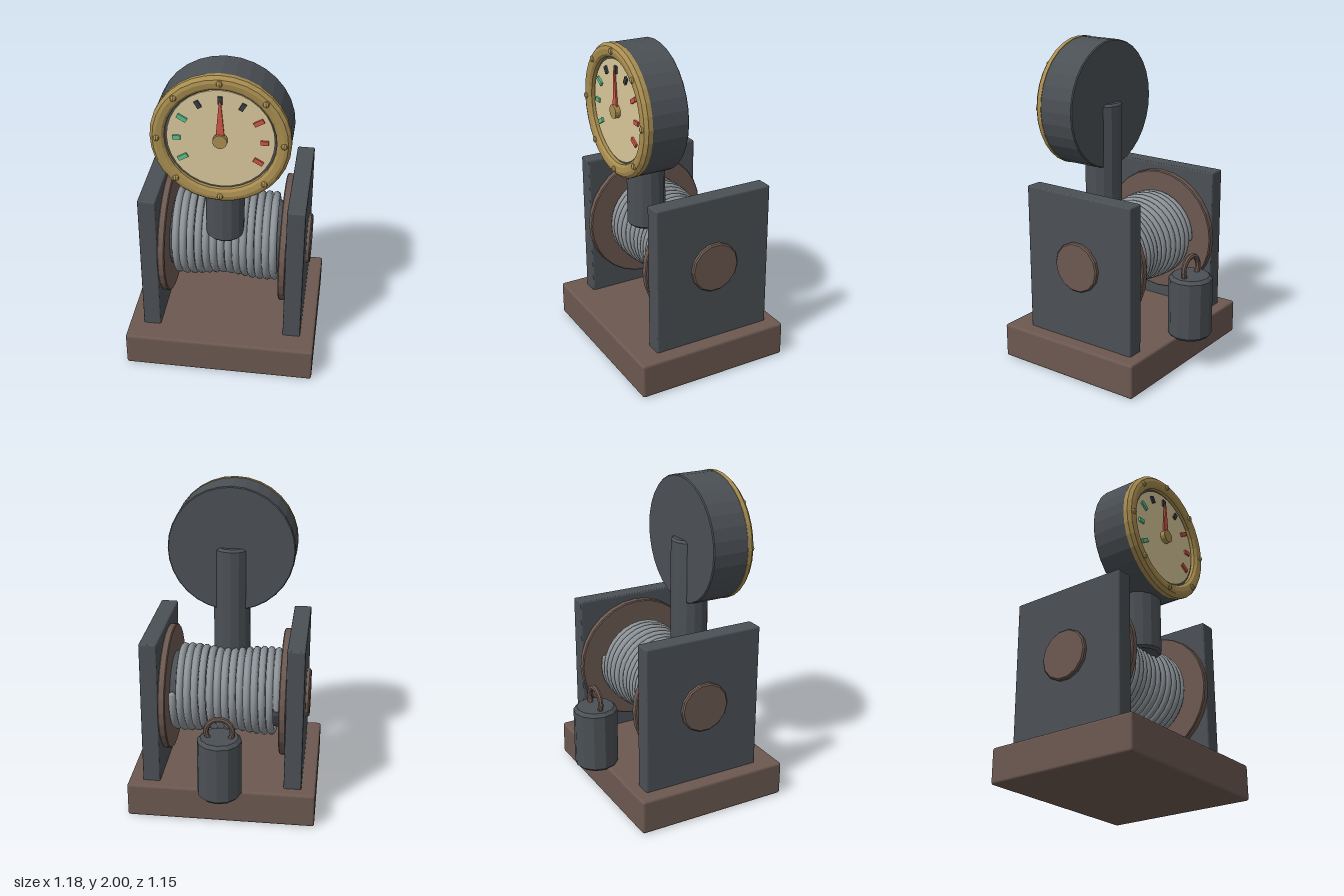
import * as THREE from 'three';
import { RoundedBoxGeometry } from 'three/addons/geometries/RoundedBoxGeometry.js';

const mat = (color, flatShading = true) => new THREE.MeshStandardMaterial({ color, flatShading });
const BROWN = mat(0x6b5850), IRON = mat(0x4b5055), BRASS = mat(0xa88d50);
const FACE = mat(0xd8c79a), ROPE = mat(0x8d9398, false);
const RED = mat(0xd05545), GREEN = mat(0x5cc28c), BLACK = mat(0x3a3d45);

// Drum axis and gauge centre
const AXLE = { y: 0.707, z: 0.042 };
const GAUGE = { y: 1.6, r: 0.4 };

// Bevelled cylinder along y, centred on the origin
function disc(r, h, bevel, sides) {
  const t = h / 2;
  return new THREE.LatheGeometry([
    [0, -t], [r - bevel, -t], [r, -t + bevel], [r, t - bevel], [r - bevel, t], [0, t],
  ].map(([x, y]) => new THREE.Vector2(x, y)), sides);
}

// Rope wound round the drum, with a gentle swell along its length
class Coil extends THREE.Curve {
  getPoint(t, target = new THREE.Vector3()) {
    const a = -Math.PI / 2 + t * Math.PI * 2 * 14.03;
    const x = -0.327 + 0.654 * t;
    const r = 0.251 - 0.011 * Math.cos(x * Math.PI / 0.24);
    return target.set(x, AXLE.y + r * Math.cos(a), AXLE.z + r * Math.sin(a));
  }
}

export function createModel() {
  const model = new THREE.Group();
  const add = (name, geometry, material, x = 0, y = 0, z = 0, parent = model) => {
    const mesh = new THREE.Mesh(geometry, material);
    mesh.name = name;
    mesh.position.set(x, y, z);
    parent.add(mesh);
    return mesh;
  };

  // Base and the two side plates with their flanges and axle caps
  add('base', new RoundedBoxGeometry(1.18, 0.22, 0.995, 2, 0.015), BROWN, 0, 0.11, 0.078);
  for (const s of [-1, 1]) {
    const side = s > 0 ? 'left' : 'right';
    add(side + 'Plate', new RoundedBoxGeometry(0.11, 0.95, 0.775, 2, 0.01), IRON, s * 0.445, 0.675, 0.042);
    add(side + 'Flange', disc(0.405, 0.045, 0.006, 28).rotateZ(Math.PI / 2), BROWN, s * 0.37, AXLE.y, AXLE.z);
    add(side + 'AxleCap', disc(0.157, 0.15, 0.008, 14).rotateZ(Math.PI / 2), BROWN, s * 0.45, AXLE.y, AXLE.z);
  }

  // Drum and rope
  add('drum', new THREE.CylinderGeometry(0.23, 0.23, 0.74, 20).rotateZ(Math.PI / 2), IRON, 0, AXLE.y, AXLE.z);
  const coil = new Coil();
  add('rope', new THREE.TubeGeometry(coil, 420, 0.024, 8), ROPE);
  for (const t of [0, 1]) {
    const p = coil.getPoint(t);
    add('ropeEnd', new THREE.SphereGeometry(0.024, 8, 6), ROPE, p.x, p.y, p.z);
  }

  // Hanging weight with a ring handle
  add('weight', disc(0.137, 0.4, 0.02, 12), IRON, 0, 0.41, -0.442);
  add('weightRing', new THREE.TorusGeometry(0.081, 0.017, 8, 20), BROWN, 0, 0.648, -0.442);

  // Column that carries the gauge
  add('column', disc(0.118, 0.77, 0.015, 14), IRON, 0, 1.225, 0.228);

  // Gauge, built round its own centre
  const gauge = new THREE.Group();
  gauge.name = 'gauge';
  gauge.position.y = GAUGE.y;
  model.add(gauge);
  const part = (name, geometry, material, x, y, z) => add(name, geometry, material, x, y, z, gauge);
  part('housing', disc(GAUGE.r, 0.247, 0.006, 32).rotateX(Math.PI / 2), IRON, 0, 0, 0.279);
  const rim = [[0.32, 0.39], [0.403, 0.39], [0.403, 0.418], [0.385, 0.438], [0.365, 0.443], [0.335, 0.438], [0.32, 0.425], [0.32, 0.39]];
  part('bezel', new THREE.LatheGeometry(rim.map(([x, y]) => new THREE.Vector2(x, y)), 32).rotateX(Math.PI / 2), BRASS, 0, 0, 0);
  part('dial', new THREE.CylinderGeometry(0.308, 0.308, 0.02, 32).rotateX(Math.PI / 2), FACE, 0, 0, 0.4);
  for (let i = 0; i < 8; i++) {
    const a = i * Math.PI / 4;
    part('stud', new THREE.SphereGeometry(0.02, 8, 6), BRASS, 0.362 * Math.cos(a), 0.362 * Math.sin(a), 0.437);
  }

  // Tick marks: red on one side, green on the other, dark at the top
  for (let deg = -30; deg <= 210; deg += 30) {
    const a = THREE.MathUtils.degToRad(deg);
    const material = deg <= 30 ? RED : deg >= 150 ? GREEN : BLACK;
    const tick = part('tick', new THREE.BoxGeometry(0.06, 0.026, 0.015), material, 0.25 * Math.cos(a), 0.25 * Math.sin(a), 0.414);
    tick.scale.x = deg > 30 && deg < 150 ? 0.75 : deg % 180 ? 1 : 0.75;
    tick.rotation.z = a;
  }

  // Needle and hub
  const needle = new THREE.Shape([[-0.027, 0], [0.027, 0], [0.005, 0.245], [-0.005, 0.245]].map(([x, y]) => new THREE.Vector2(x, y)));
  part('needle', new THREE.ExtrudeGeometry(needle, { depth: 0.01, bevelEnabled: false }), RED, 0, 0, 0.418);
  part('hub', new THREE.CylinderGeometry(0.042, 0.042, 0.035, 14).rotateX(Math.PI / 2), BRASS, 0, 0, 0.424);

  return model;
}
